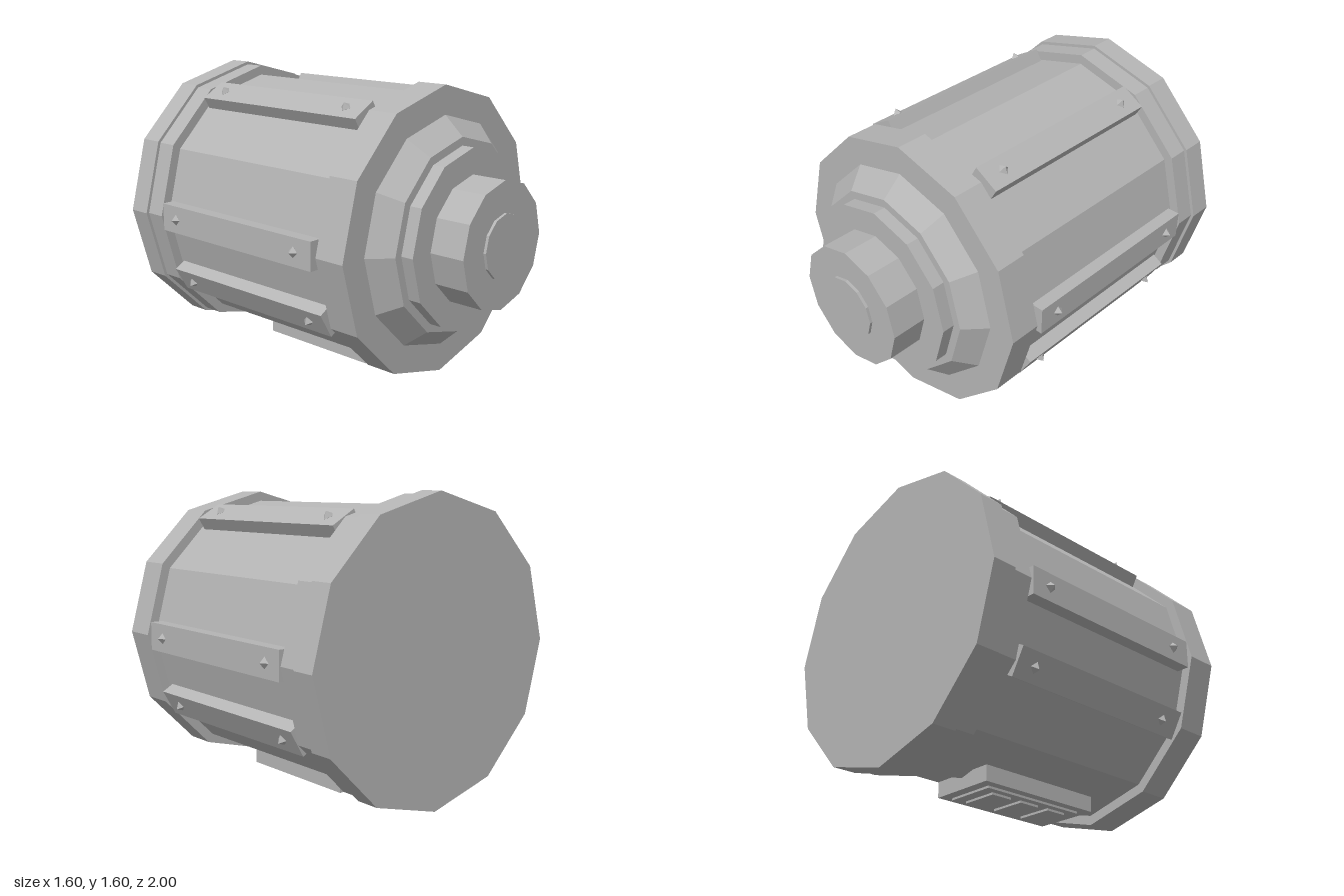
import * as THREE from 'three';

const AXIS_Y = 0.805; // height of the barrel axis
const SIDES = 12;

export function createModel() {
  const model = new THREE.Group();
  model.name = 'canister';
  const grey = new THREE.MeshStandardMaterial({ color: 0xb4b4b4, flatShading: true });
  grey.name = 'grey metal';

  const add = (parent, name, geometry, x = 0, y = 0, z = 0) => {
    const mesh = new THREE.Mesh(geometry, grey);
    mesh.name = name;
    mesh.position.set(x, y, z);
    parent.add(mesh);
    return mesh;
  };

  // Twelve-sided sections along z, each from zBack to zFront
  const sections = [
    ['backCap', -1, -0.87, 0.79, 0.79],
    ['backRing', -0.87, -0.755, 0.773, 0.773],
    ['body', -0.755, 0.435, 0.72, 0.72],
    ['frontRing', 0.435, 0.61, 0.773, 0.773],
    ['shoulder', 0.61, 0.72, 0.62, 0.52],
    ['collar', 0.72, 0.79, 0.475, 0.475],
    ['nozzle', 0.79, 0.985, 0.337, 0.337],
    ['nozzleDisc', 0.985, 1, 0.171, 0.171],
  ];
  for (const [name, zBack, zFront, rBack, rFront] of sections) {
    const geometry = new THREE.CylinderGeometry(rFront, rBack, zFront - zBack, SIDES);
    geometry.rotateX(Math.PI / 2);
    add(model, name, geometry, 0, AXIS_Y, (zBack + zFront) / 2);
  }

  // Riveted rails along the body corners
  const railGeometry = new THREE.BoxGeometry(0.09, 0.152, 1.14);
  const rivetGeometry = new THREE.OctahedronGeometry(0.03);
  for (const degrees of [-30, 0, 60, 120, 180, 210]) {
    const rail = new THREE.Group();
    rail.name = 'rail';
    rail.position.y = AXIS_Y;
    rail.rotation.z = THREE.MathUtils.degToRad(degrees);
    add(rail, 'railBar', railGeometry, 0.725, 0, -0.17);
    for (const z of [0.28, -0.63]) add(rail, 'rivet', rivetGeometry, 0.771, 0, z);
    model.add(rail);
  }

  // Underside box with a stepped panel and three pads
  const underside = new THREE.Group();
  underside.name = 'undersideBox';
  add(underside, 'boxBody', new THREE.BoxGeometry(0.374, 0.084, 0.74), 0, 0.066, -0.13);
  add(underside, 'boxPanel', new THREE.BoxGeometry(0.28, 0.014, 0.625), 0, 0.019, -0.1325);
  for (const z of [0.058, -0.1325, -0.323]) {
    add(underside, 'pad', new THREE.BoxGeometry(0.205, 0.014, 0.122), 0, 0.007, z);
  }
  model.add(underside);

  return model;
}
